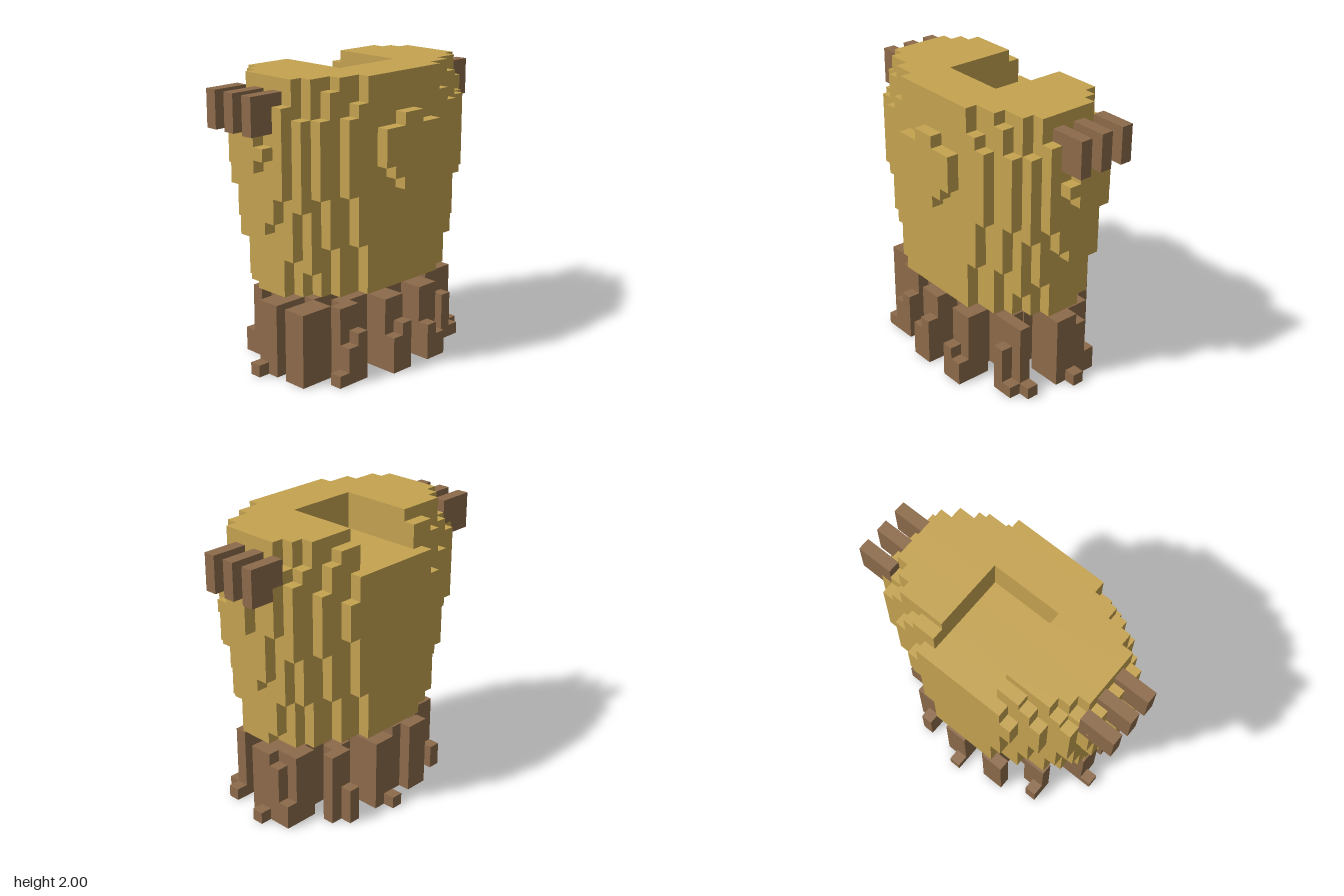
import * as THREE from 'three';
import { mergeGeometries } from 'three/addons/utils/BufferGeometryUtils.js';

const U = 1 / 12; // one block

// Box between two corners given in blocks
function block(x0, x1, y0, y1, z0, z1) {
  const g = new THREE.BoxGeometry((x1 - x0) * U, (y1 - y0) * U, (z1 - z0) * U);
  return g.translate(((x0 + x1) / 2) * U, ((y0 + y1) / 2) * U, ((z0 + z1) / 2) * U);
}

// Body slabs from back to front: z, then [top, half width] steps upward from y = 7
const SLABS = [
  [-6, [[11, 3], [16, 4], [19, 5], [21, 4]]],
  [-5, [[11, 5], [15, 6], [20, 7], [22, 6], [23, 5]]],
  [-4, [[11, 7], [15, 8], [21, 9], [22, 8], [24, 7]]],
  [-3, [[11, 8], [17, 9], [21, 10], [22, 9], [24, 8]]],
  [-2, [[8, 8], [13, 9], [22, 10], [24, 9]]],
  [-1, [[12, 9], [17, 10], [20, 11], [22, 10], [24, 9]]],
  [0, [[12, 9], [17, 10], [20, 11], [22, 10], [24, 9]]],
  [1, [[13, 9], [18, 10], [19, 11], [22, 10], [24, 9]]],
  [2, [[10, 8], [15, 9], [22, 10], [24, 9]]],
  [3, [[9, 7], [14, 8], [21, 9], [24, 8]]],
  [4, [[11, 6], [15, 7], [21, 8], [23, 7], [24, 6]]],
  [5, [[11, 4], [15, 5], [21, 6], [22, 5], [24, 4]]],
];

function bodyGeometry() {
  const parts = [];
  for (const [z, steps] of SLABS) {
    let y = 7;
    for (const [top, w] of steps) {
      // The notch in the top is open to the back, three blocks deep
      const solidTop = z < 2 ? Math.min(top, 21) : top;
      if (solidTop > y) parts.push(block(-w, w, y, solidTop, z, z + 1));
      if (top > solidTop) {
        const base = Math.max(y, 21);
        parts.push(block(-w, -3, base, top, z, z + 1), block(3, w, base, top, z, z + 1));
      }
      y = top;
    }
  }
  return mergeGeometries(parts);
}

// Tall root walls: outer end x, z and the axis along which the end is two blocks wide
const ROOTS = [
  [8, -1, 'z'], [6, 3, 'x'], [2, 5, 'x'], [-2, 5, 'x'], [-6, 4, 'x'], [-9, 2, 'z'],
  [-9, -1, 'z'], [-7, -4, 'x'], [-4, -6, 'x'], [0, -6, 'x'], [4, -5, 'x'], [7, -3, 'z'],
];

// Low root toes: x, z, height
const TOES = [
  [9, -1, 1], [7, 4, 1], [6, 4, 4], [8, 3, 1], [2, 6, 3], [3, 6, 2],
  [-2, 6, 3], [-1, 6, 4], [-6, 5, 3], [-5, 5, 4], [-7, 5, 1],
  [-10, -1, 1], [-7, -5, 2], [0, -7, 1], [4, -6, 3], [8, -3, 2], [8, -2, 5],
];

function rootGeometry() {
  const columns = new Map(TOES.map(([x, z, h]) => [`${x},${z}`, h]));
  for (const [ex, ez, axis] of ROOTS) {
    const steps = Math.max(Math.abs(ex), Math.abs(ez));
    for (let i = 0; i <= steps; i++) {
      const x = Math.round((ex * i) / steps), z = Math.round((ez * i) / steps);
      columns.set(`${x},${z}`, 6);
      // Roots are two blocks wide near the outside
      if (i > steps - 3) columns.set(axis === 'x' ? `${x + 1},${z}` : `${x},${z + 1}`, 6);
    }
  }
  return mergeGeometries([...columns].map(([key, h]) => {
    const [x, z] = key.split(',').map(Number);
    return block(x, x + 1, 0, h, z, z + 1);
  }));
}

export function createModel() {
  const model = new THREE.Group();
  model.name = 'blockCreature';
  const gold = new THREE.MeshStandardMaterial({ color: 0xc5a350 });
  gold.name = 'gold';
  const brown = new THREE.MeshStandardMaterial({ color: 0x8d6b4a });
  brown.name = 'brown';

  const add = (name, geometry, material) => {
    const mesh = new THREE.Mesh(geometry, material);
    mesh.name = name;
    model.add(mesh);
  };

  add('body', bodyGeometry(), gold);

  // Raised patch on the front
  add('frontPatch', mergeGeometries([[15, 16, 1], [16, 17, 2], [17, 20, 3], [20, 21, 1]]
    .map(([y0, y1, w]) => block(-w, w, y0, y1, 6, 7))), gold);

  // Three upright plates on each side
  for (const [name, x0, x1] of [['leftPlates', 9, 12], ['rightPlates', -12, -9]]) {
    add(name, mergeGeometries([-3, -1, 1].map((z) => block(x0, x1, 20, 23, z, z + 1))), brown);
  }

  // Ring of roots spreading from the centre
  add('roots', rootGeometry(), brown);
  return model;
}
